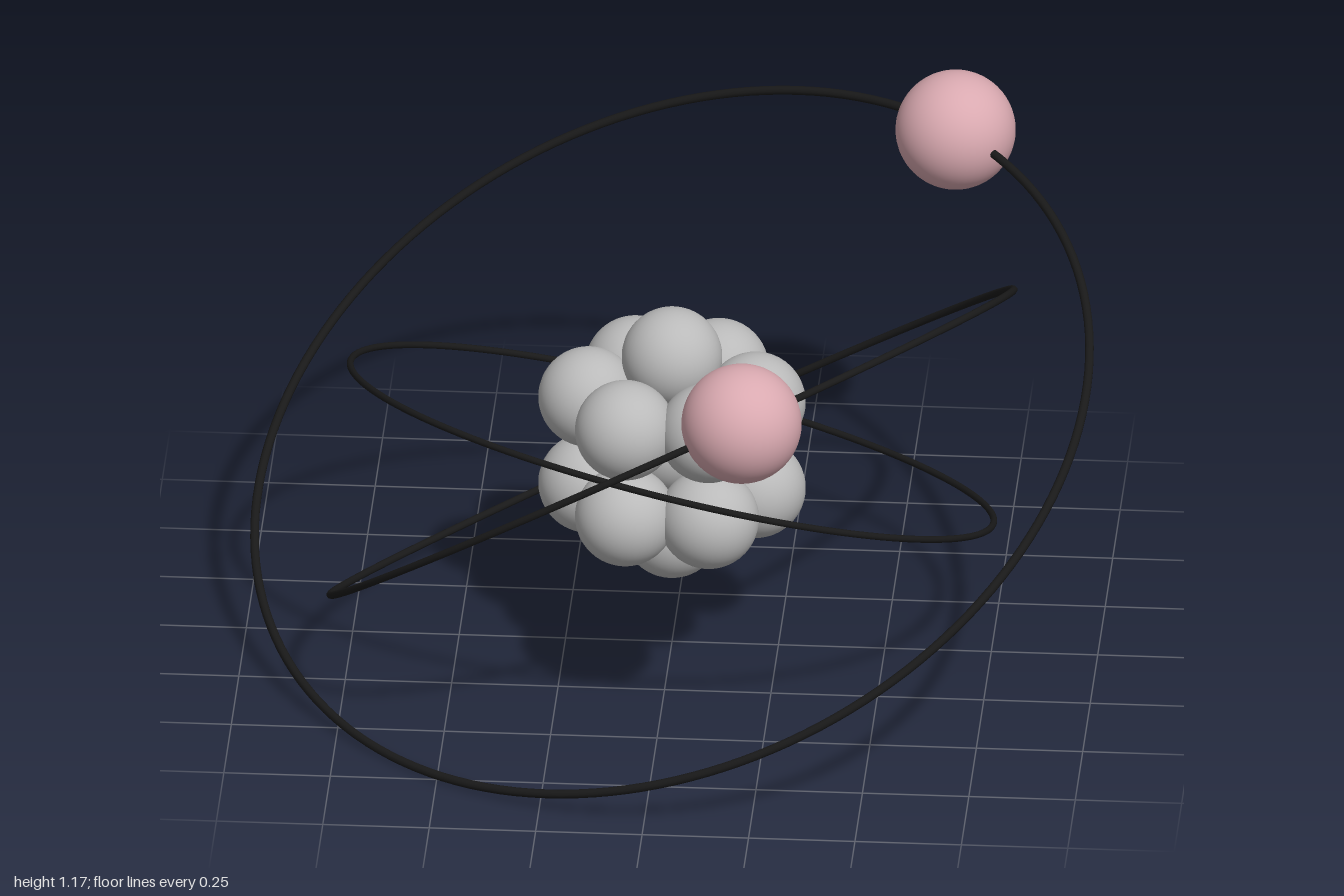
import * as THREE from 'three';

export function createModel() {
  const model = new THREE.Group();
  const material = (name, color) => {
    const m = new THREE.MeshStandardMaterial({ color });
    m.name = name;
    return m;
  };
  const grey = material('nucleon grey', 0xbababa);
  const pink = material('electron pink', 0xd9a9b0);
  const black = material('orbit black', 0x191919);

  const centre = new THREE.Vector3(0, 0.525, 0);
  const add = (parent, name, geometry, mat, position) => {
    const mesh = new THREE.Mesh(geometry, mat);
    mesh.name = name;
    mesh.position.copy(position);
    parent.add(mesh);
    return mesh;
  };

  // Nucleus: two hexagonal layers with a core, a top and a bottom ball
  const nucleus = new THREE.Group();
  nucleus.name = 'nucleus';
  nucleus.position.copy(centre);
  model.add(nucleus);
  const ball = new THREE.SphereGeometry(0.118, 40, 28);
  for (const y of [-0.225, 0, 0.225]) {
    add(nucleus, 'axisNucleon', ball, grey, new THREE.Vector3(0, y, 0));
  }
  for (const y of [-0.113, 0.113]) {
    for (let i = 0; i < 6; i++) {
      const a = (i * Math.PI) / 3;
      add(nucleus, 'layerNucleon', ball, grey,
        new THREE.Vector3(0.196 * Math.cos(a), y, 0.193 * Math.sin(a)));
    }
  }

  // Tilted orbits, each with one electron
  const orbits = [
    { name: 'outer', radius: 1.036, tube: 0.0105, normal: [-0.302, 0.868, 0.393], electron: [0.62, 0.51, -0.657] },
    { name: 'middle', radius: 0.877, tube: 0.009, normal: [-0.435, 0.83, -0.357], electron: [0.215, 0.43, 0.735] },
    { name: 'inner', radius: 0.777, tube: 0.008, normal: [0.22, 0.928, -0.3], electron: [0.077, -0.262, -0.731] },
  ];
  const electron = new THREE.SphereGeometry(0.141, 48, 32);
  const zAxis = new THREE.Vector3(0, 0, 1);
  for (const o of orbits) {
    const ring = add(model, o.name + 'Orbit', new THREE.TorusGeometry(o.radius, o.tube, 10, 160), black, centre);
    ring.quaternion.setFromUnitVectors(zAxis, new THREE.Vector3(...o.normal).normalize());
    add(model, o.name + 'Electron', electron, pink, new THREE.Vector3(...o.electron).add(centre));
  }
  return model;
}
